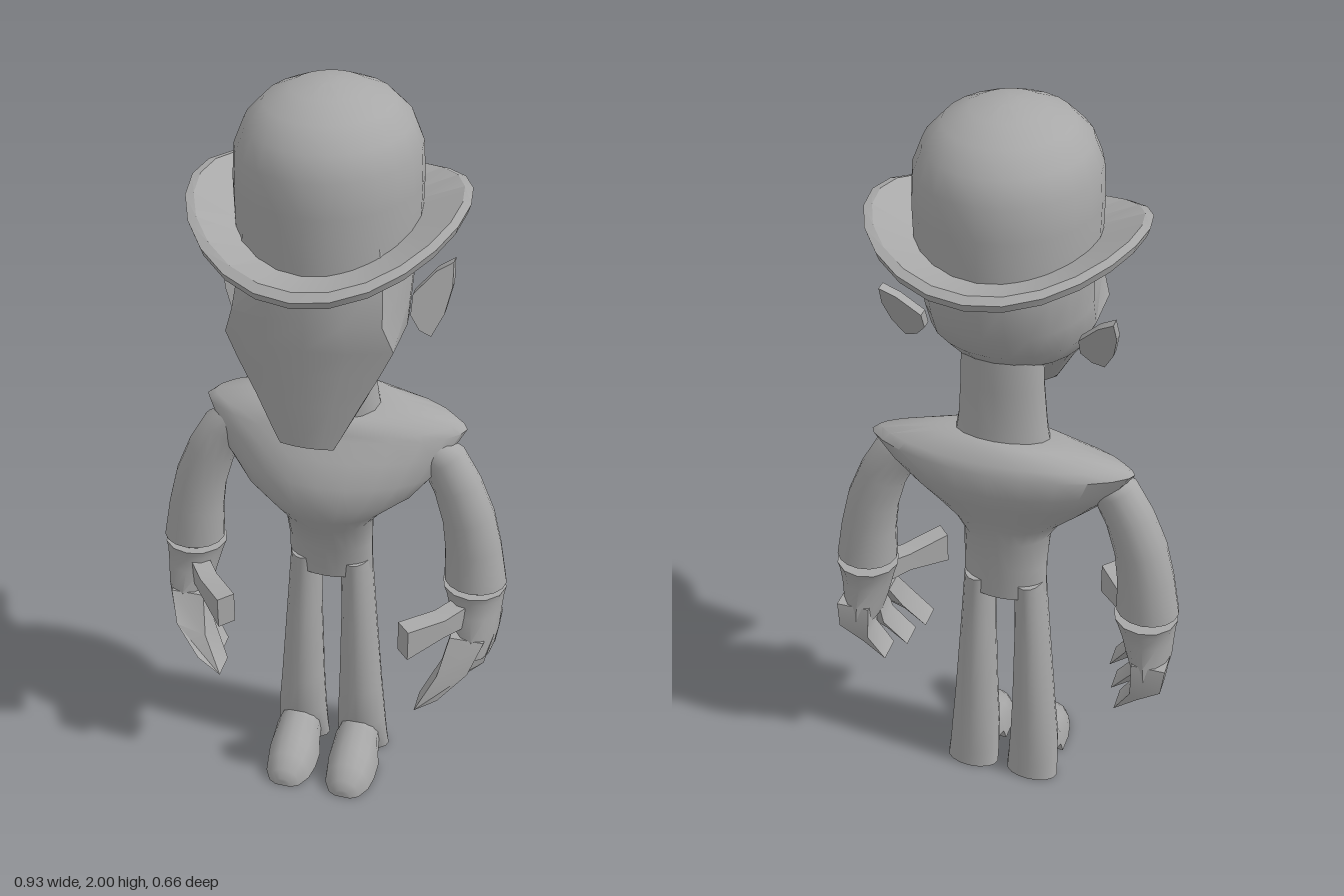
import * as THREE from 'three';
import { toCreasedNormals } from 'three/addons/utils/BufferGeometryUtils.js';

const V = (x, y, z) => new THREE.Vector3(x, y, z);

// Skin a list of equal-length point rings; winding is fixed by signed volume.
function loft(rings, crease = 0.9, capped = true) {
  const tris = [];
  const n = rings[0].length;
  for (let i = 0; i < rings.length - 1; i++) {
    for (let j = 0; j < n; j++) {
      const k = (j + 1) % n;
      const a = rings[i][j], b = rings[i][k], c = rings[i + 1][k], d = rings[i + 1][j];
      tris.push([a, b, c], [a, c, d]);
    }
  }
  if (capped) {
    [rings[0], rings[rings.length - 1]].forEach((r, end) => {
      const mid = r.reduce((s, p) => s.add(p), V(0, 0, 0)).divideScalar(n);
      r.forEach((p, j) => {
        const q = r[(j + 1) % n];
        tris.push(end ? [p, q, mid] : [q, p, mid]);
      });
    });
  }
  const volume = tris.reduce((s, [a, b, c]) => s + a.dot(b.clone().cross(c)), 0);
  const points = tris.flatMap(([a, b, c]) => (volume < 0 ? [a, c, b] : [a, b, c]));
  const geo = new THREE.BufferGeometry().setFromPoints(points);
  return toCreasedNormals(geo, crease);
}

// Closed ring around the y axis from a function of the angle.
const around = (n, fn) => Array.from({ length: n }, (_, i) => {
  const t = (i / n) * Math.PI * 2;
  return fn(Math.cos(t), Math.sin(t));
});
const oval = (x, y, z, rx, rz, n = 16) => around(n, (c, s) => V(x + rx * c, y, z + rz * s));
// Oval given by its front and back z
const ovalFB = (x, y, rx, front, back, n = 16) => oval(x, y, (front + back) / 2, rx, (front - back) / 2, n);

export function createModel() {
  const model = new THREE.Group();
  const grey = new THREE.MeshStandardMaterial({ color: 0xa8a8a8 });
  grey.name = 'plain grey';
  const add = (name, geo, parent = model) => {
    const mesh = new THREE.Mesh(geo, grey);
    mesh.name = name;
    parent.add(mesh);
    return mesh;
  };

  // Hat: domed crown and a saddle-shaped brim
  const brimY = (x, z) => 1.655 - 0.083 * z + 0.85 * x * x;
  const crown = [around(24, (c, s) => V(0.213 * c, brimY(0.213 * c, 0.238 * s) - 0.015, 0.238 * s))];
  [[1.78, 0.215, 0.24], [1.86, 0.21, 0.235], [1.915, 0.188, 0.21], [1.96, 0.145, 0.16],
    [1.988, 0.085, 0.095], [2, 0.025, 0.03]].forEach(([y, rx, rz]) => crown.push(oval(0, y, 0, rx, rz, 24)));
  add('hatCrown', loft(crown, 1.2));

  const brimRing = (r, dy) => around(24, (c, s) => {
    const x = r * c * 0.98, z = r * s;
    return V(x, brimY(x, z) + dy, z);
  });
  const brim = [[0.18, 0.005], [0.312, 0.014], [0.332, 0], [0.325, -0.018], [0.18, -0.02], [0.18, 0.005]];
  add('hatBrim', loft(brim.map(([r, dy]) => brimRing(r, dy)), 0.6, false));

  // Head: flat angular face in front, rounded skull behind
  const headRing = ([y, faceW, faceZ, edgeZ, w, midZ, backZ]) => {
    const half = [[faceW * 0.5, faceZ * 0.75 + edgeZ * 0.25], [faceW, edgeZ]];
    for (let i = 0; i < 6; i++) {
      const t = (i / 6) * Math.PI / 2;
      half.push([w * Math.cos(t), midZ - (midZ - backZ) * Math.sin(t)]);
    }
    return [V(0, y, faceZ), ...half.map(([x, z]) => V(x, y, z)), V(0, y, backZ),
      ...half.reverse().map(([x, z]) => V(-x, y, z))];
  };
  add('head', loft([
    [1.178, 0.065, 0.215, 0.207, 0.066, 0.2, 0.185],
    [1.205, 0.079, 0.217, 0.205, 0.08, 0.185, 0.12],
    [1.3, 0.125, 0.222, 0.195, 0.13, 0.15, 0.035],
    [1.385, 0.168, 0.226, 0.19, 0.172, 0.08, -0.1],
    [1.45, 0.198, 0.23, 0.185, 0.2, 0.05, -0.165],
    [1.52, 0.175, 0.232, 0.203, 0.2, 0.02, -0.205],
    [1.62, 0.165, 0.236, 0.165, 0.205, 0, -0.232],
    [1.74, 0.15, 0.232, 0.16, 0.205, 0, -0.232],
  ].map(headRing), 0.6));

  add('neck', loft([[1.13, 0.125, 0.03, -0.13], [1.2, 0.113, 0.028, -0.12], [1.32, 0.104, 0.022, -0.12],
    [1.45, 0.1, 0.02, -0.12]].map(([y, rx, f, b]) => ovalFB(0, y, rx, f, b))));

  // Torso: slim waist opening into wide pointed shoulders, collar higher at the back
  const torsoRing = ([y, rx, front, back, tilt]) => around(24, (c, s) => {
    const k = rx > 0.2 ? s * Math.abs(s) ** 0.3 : s;
    return V(rx * c, y - tilt * s, (front + back) / 2 + k * (front - back) / 2);
  });
  add('torso', loft([
    [0.655, 0.112, 0.035, -0.09, 0], [0.75, 0.111, 0.045, -0.09, 0], [0.84, 0.115, 0.085, -0.098, 0],
    [0.89, 0.15, 0.12, -0.11, 0], [0.94, 0.22, 0.137, -0.13, 0], [1.0, 0.272, 0.125, -0.16, 0],
    [1.06, 0.307, 0.095, -0.184, 0], [1.112, 0.337, 0.06, -0.183, 0.01], [1.13, 0.315, 0.052, -0.172, 0.015],
    [1.16, 0.17, 0.04, -0.145, 0.018], [1.165, 0.11, 0.03, -0.125, 0.018],
  ].map(torsoRing), 0.8));

  for (const s of [1, -1]) {
    const side = s > 0 ? 'left' : 'right';

    // Ear: thin pointed leaf leaning back towards the tip
    const earShape = new THREE.Shape([[0.19, 1.43], [0.215, 1.4], [0.245, 1.39], [0.27, 1.44],
      [0.282, 1.5], [0.278, 1.553], [0.24, 1.53], [0.19, 1.475]].map(([x, y]) => new THREE.Vector2(x, y)));
    const outline = earShape.getPoints();
    const ear = [0.014, -0.014].map((d) => outline.map((p) => V(s * p.x, p.y, d - 0.025 - (p.y - 1.39) * 0.46)));
    add(side + 'Ear', loft(ear, 0.5));

    // Leg, flaring to the hem
    add(side + 'Leg', loft([[0.7, 0.068, 0.04, 0.035, -0.09], [0.5, 0.076, 0.047, 0.034, -0.091],
      [0.25, 0.083, 0.06, 0.031, -0.094], [0.13, 0.086, 0.068, 0.03, -0.097], [0.05, 0.087, 0.072, 0.008, -0.099],
      [0, 0.088, 0.074, -0.018, -0.1]].map(([y, x, rx, f, b]) => ovalFB(s * x, y, rx, f, b))));

    // Shoe: domed sections running to the toe, raised at the instep
    const shoe = [[-0.03, 0.05, 0.14, 0.055], [0.025, 0.035, 0.148, 0.064], [0.035, 0, 0.142, 0.068],
      [0.09, 0, 0.108, 0.069], [0.135, 0, 0.08, 0.062], [0.17, 0, 0.05, 0.043], [0.182, 0, 0.025, 0.022]];
    add(side + 'Shoe', loft(shoe.map(([z, low, top, w]) => Array.from({ length: 9 }, (_, i) => {
      const t = (i / 8) * Math.PI;
      return V(s * 0.086 + w * Math.cos(t), low + (top - low) * Math.sin(t) ** 0.8, z);
    }))));

    // Arm: sleeve bowing outwards
    const sleeve = [[0.235, 1.07, 0.035, 0.045], [0.285, 1.035, 0.05, 0.05], [0.325, 0.96, 0.058, 0.058],
      [0.357, 0.87, 0.066, 0.064], [0.374, 0.78, 0.073, 0.068], [0.385, 0.675, 0.082, 0.074]];
    add(side + 'Arm', loft(sleeve.map(([x, y, rx, rz], i) => {
      const lean = [0.9, 0.65, 0.4, 0.25, 0.12, 0][i];
      return around(16, (c, q) => V(s * (x + rx * c), y + rx * c * lean, -0.035 + rz * q));
    })));
    add(side + 'Wrist', loft([0.69, 0.63].map((y) => oval(s * 0.385, y, -0.035, 0.055, 0.052))));

    // Gloved hand: cuff and palm, three curled fingers, forward thumb
    const hand = new THREE.Group();
    hand.name = side + 'Hand';
    model.add(hand);
    add('palm', loft([[0.657, 0.383, 0.084, 0.04, -0.12], [0.635, 0.385, 0.078, 0.035, -0.112],
      [0.59, 0.39, 0.07, 0.04, -0.105], [0.53, 0.397, 0.06, 0.055, -0.112], [0.47, 0.402, 0.045, 0.06, -0.114],
    ].map(([y, x, rx, f, b]) => ovalFB(s * x, y, rx, f, b, 12)), 0.7), hand);

    const fingers = [
      [[0.385, 0.53, 0.02], [0.36, 0.45, 0.07], [0.3, 0.365, 0.11]],
      [[0.405, 0.53, -0.02], [0.392, 0.44, 0], [0.325, 0.362, 0.025]],
      [[0.41, 0.53, -0.075], [0.408, 0.45, -0.08], [0.355, 0.385, -0.07]],
    ];
    fingers.forEach((path, f) => add('finger' + (f + 1), loft(path.map(([x, y, z], i) => {
      const w = [0.045, 0.04, 0.03][i], d = [0.032, 0.037, 0.036][i];
      return [[-1, -1], [1, -1], [1, 1], [-1, 1]].map(([a, b]) => V(s * (x + a * w), y + a * 0.012 * i, z + b * d));
    }), 0.6), hand));

    const thumb = [[0.375, 0.59, -0.01, 0.035], [0.315, 0.588, 0.07, 0.028], [0.237, 0.587, 0.16, 0.045]];
    add('thumb', loft(thumb.map(([x, y, z, h]) => [[-1, -1], [1, -1], [1, 1], [-1, 1]].map(
      ([a, b]) => V(s * (x + a * 0.017), y + b * h, z + a * 0.018))), 0.5), hand);
  }

  return model;
}
